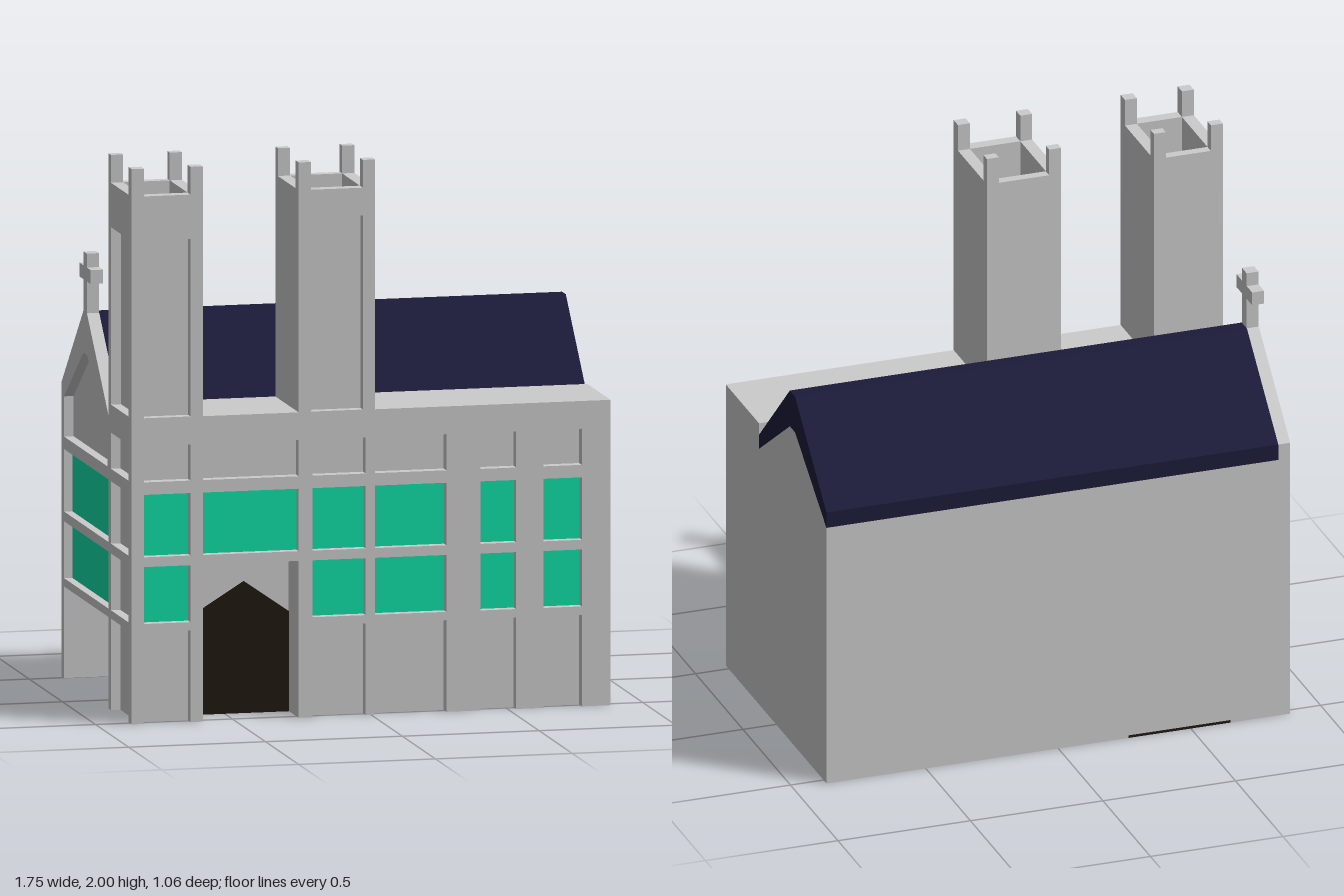
import * as THREE from 'three';

const stone = new THREE.MeshStandardMaterial({ color: 0xcccccc });
const glass = new THREE.MeshStandardMaterial({ color: 0x10dfa8 });
const slate = new THREE.MeshStandardMaterial({ color: 0x1b1b3a });
const dark = new THREE.MeshStandardMaterial({ color: 0x1f1810 });

const T = 0.045; // thickness of facades and tower walls
const BACK = -0.53, FRONT = 0.53, LEFT = 0.875, RIGHT = -0.875, NAVE = 0.18;
const ROWS = [[0.36, 0.565], [0.6, 0.825], [0.87, 1.0]];
const COLS = [[-0.83, -0.66], [-0.615, -0.265], [-0.215, -0.02], [0.015, 0.275], [0.4, 0.53], [0.63, 0.77]];

export function createModel() {
  const root = new THREE.Group();
  root.name = 'church';

  const add = (name, geometry, material) => {
    const mesh = new THREE.Mesh(geometry, material);
    mesh.name = name;
    root.add(mesh);
    return mesh;
  };
  // Box given by its limits on each axis
  const box = (name, [x0, x1], [y0, y1], [z0, z1], material = stone) =>
    add(name, new THREE.BoxGeometry(x1 - x0, y1 - y0, z1 - z0), material)
      .position.set((x0 + x1) / 2, (y0 + y1) / 2, (z0 + z1) / 2);
  const path = (points) => points.map((p) => new THREE.Vector2(...p));
  const rect = ([a, b], [c, d]) => [[a, c], [b, c], [b, d], [a, d]];
  const extrude = (points, holes, depth) => {
    const shape = new THREE.Shape(path(points));
    holes.forEach((h) => shape.holes.push(new THREE.Path(path(h))));
    return new THREE.ExtrudeGeometry(shape, { depth, bevelEnabled: false });
  };
  // Section in (x, y), running along z
  const alongZ = (name, points, holes, [z0, z1], material = stone) => {
    add(name, extrude(points, holes, z1 - z0), material).position.z = z0;
  };
  // Section in (z, y), running along x
  const alongX = (name, points, holes, [x0, x1], material = stone) => {
    const mesh = add(name, extrude(points, holes, x1 - x0), material);
    mesh.rotation.y = -Math.PI / 2;
    mesh.position.x = x1;
  };
  // Bottom edge of a facade, notched by openings [from, to, top]
  const notches = (list) => list.flatMap(([a, b, top]) => [[a, 0], [a, top], [b, top], [b, 0]]);

  // Solid body: full height on the left, only above the porches on the right
  const section = (y0) => [[BACK, y0], [0.49, y0], [0.49, 1.1], [NAVE, 1.1], [NAVE, 1.0],
    [-0.145, 1.23], [-0.2, 1.23], [BACK, 1.0]];
  alongX('naveBody', section(0), [], [-0.265, LEFT]);
  alongX('upperBody', section(0.565), [], [-0.84, -0.265]);
  box('hall', [-0.65, -0.265], [0.01, 0.565], [BACK, 0.38]);
  box('hallFloor', [-0.65, -0.265], [0, 0.01], [BACK, 0.385], dark);
  box('towerBase', [-0.84, -0.615], [0, 0.565], [NAVE, 0.49]);
  box('sidePorchBackWall', [-0.84, -0.65], [0, 0.565], [BACK, -0.49]);
  box('sidePorchCeiling', [-0.84, -0.65], [0.33, 0.565], [-0.49, NAVE]);

  // Front facade with a grid of openings and a tall porch in the second column
  const frontOutline = [[RIGHT, 0], ...notches(COLS.map(([a, b], i) => [a, b, i === 1 ? 0.565 : 0.33])),
    [LEFT, 0], [LEFT, 1.1], [RIGHT, 1.1]];
  const frontHoles = [];
  COLS.forEach((col, i) => ROWS.forEach((row, j) => {
    if (i === 1 && j === 0) return;
    frontHoles.push(rect(col, row));
    if (j < 2) box('frontWindow', col, row, [0.485, 0.495], glass);
  }));
  alongZ('frontFacade', frontOutline, frontHoles, [FRONT - T, FRONT]);
  alongZ('frontDoor', [[-0.615, 0], [-0.265, 0], [-0.265, 0.36], [-0.43, 0.475], [-0.615, 0.36]],
    [], [0.378, 0.386], dark);

  // Gabled side facade, its parapet following the roof
  const naveCol = [-0.49, NAVE], towerCol = [0.215, 0.485];
  const sideOutline = [[BACK, 0], ...notches([[...naveCol, 0.33], [...towerCol, 0.33]]),
    [FRONT, 0], [FRONT, 1.1], [NAVE, 1.1], [NAVE, 1.055], [-0.145, 1.37], [-0.2, 1.37], [BACK, 1.06]];
  const gable = [[-0.49, 0.87], [0.165, 0.87], [0.165, 1.0], [-0.145, 1.22], [-0.2, 1.22], [-0.49, 1.015]];
  const sideHoles = [gable, ...ROWS.map((row) => rect(towerCol, row))];
  ROWS.slice(0, 2).forEach((row) => {
    sideHoles.push(rect(naveCol, row));
    box('sideWindow', [-0.845, -0.835], row, naveCol, glass);
  });
  alongX('sideFacade', sideOutline, sideHoles, [RIGHT, RIGHT + T]);
  box('sideDoor', [-0.656, -0.648], [0, 0.33], naveCol, dark);

  // Nave roof
  alongX('roof', [[NAVE, 1.0], [NAVE, 1.055], [-0.145, 1.37], [-0.2, 1.37], [BACK, 1.06],
    [BACK, 1.0], [-0.2, 1.23], [-0.145, 1.23]], [], [RIGHT + T, LEFT], slate);

  // Cross on the gable
  const crossX = [RIGHT, RIGHT + T];
  box('crossUpright', crossX, [1.37, 1.585], [-0.197, -0.148]);
  box('crossArms', crossX, [1.485, 1.535], [-0.255, -0.09]);

  // Open towers with recessed panels and corner pinnacles
  const tower = (x0, x1, panelTop, sidePanel) => {
    const wall = [1.1, 1.9], inX = [x0 + T, x1 - T], inZ = [NAVE + T * 0.8, FRONT - T];
    alongZ('towerFront', rect([x0, x1], wall), [rect(inX, [1.101, panelTop])], [FRONT - T, FRONT]);
    box('towerFrontPanel', inX, [1.1, panelTop], [FRONT - T, FRONT - T + 0.008]);
    box('towerBack', [x0, x1], wall, [NAVE, inZ[0]]);
    box('towerLeft', [inX[1], x1], wall, inZ);
    if (sidePanel) {
      alongX('towerRight', rect(inZ, wall), [rect([inZ[0] + 0.002, inZ[1] - 0.002], [1.101, panelTop])], [x0, inX[0]]);
      box('towerRightPanel', [inX[0] - 0.008, inX[0]], [1.1, panelTop], inZ);
    } else {
      box('towerRight', [x0, inX[0]], wall, inZ);
    }
    for (const px of [[x0, inX[0]], [inX[1], x1]])
      for (const pz of [[NAVE, inZ[0]], [inZ[1], FRONT]]) box('pinnacle', px, [1.9, 2], pz);
  };
  tower(RIGHT, -0.615, 1.74, true);
  tower(-0.265, 0.015, 1.8, false);

  return root;
}
